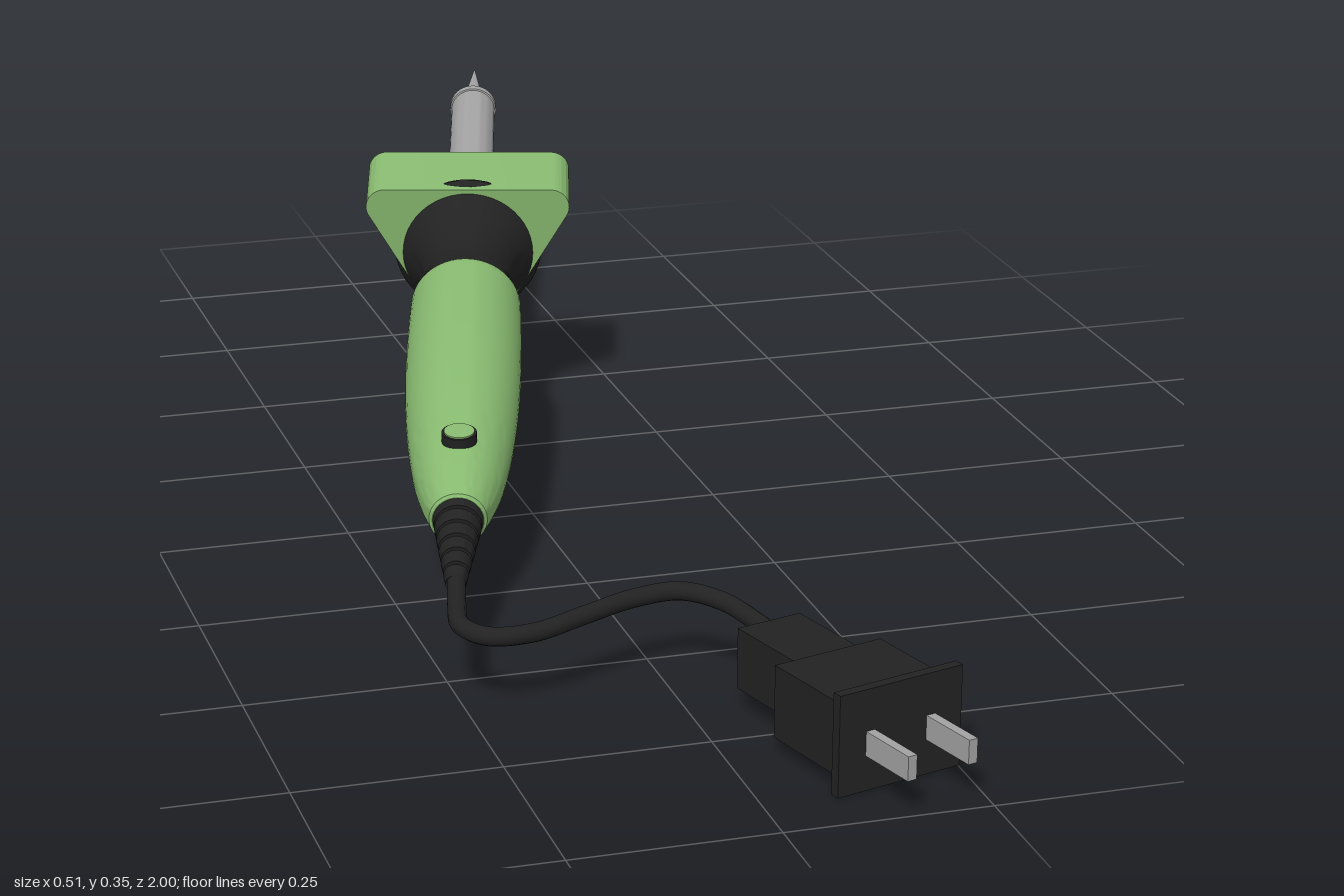
import * as THREE from 'three';
import { toCreasedNormals } from 'three/addons/utils/BufferGeometryUtils.js';

const mat = (name, color) => {
  const m = new THREE.MeshStandardMaterial({ color });
  m.name = name;
  return m;
};

export function createModel() {
  const green = mat('green plastic', 0x88ba70);
  const black = mat('black rubber', 0x222222);
  const steel = mat('steel', 0xa2a2a2);

  const add = (parent, name, geometry, material, x = 0, y = 0, z = 0) => {
    const mesh = new THREE.Mesh(geometry, material);
    mesh.name = name;
    mesh.position.set(x, y, z);
    parent.add(mesh);
    return mesh;
  };
  // Turned part along +z from [radius, distance] pairs
  const turned = (pairs, segments = 48) => {
    const pts = pairs.map(([r, s]) => new THREE.Vector2(r, s));
    return toCreasedNormals(new THREE.LatheGeometry(pts, segments).rotateX(Math.PI / 2), 0.5);
  };
  const smooth = (pairs, n) => new THREE.SplineCurve(pairs.map(([r, s]) => new THREE.Vector2(r, s)))
    .getPoints(n).map((p) => [p.x, p.y]);

  const model = new THREE.Group();
  model.name = 'solderingIron';

  // Iron: local +z runs from the cable end to the tip
  const iron = new THREE.Group();
  iron.name = 'iron';
  iron.position.set(-0.225, 0.11, 0.45);
  iron.lookAt(0.195, 0.325, -1);
  model.add(iron);

  // Ribbed strain relief
  const ribs = [[0, -0.012]];
  for (let i = 0; i < 6; i++) {
    const s = -0.012 + i * 0.028, r = 0.0145 + i * 0.0034;
    ribs.push([r - 0.002, s], [r + 0.001, s + 0.021], [r - 0.004, s + 0.022], [r - 0.003, s + 0.028]);
  }
  add(iron, 'strainRelief', turned(ribs, 32), black);

  // Handle
  add(iron, 'handle', turned([
    [0, 0.142], [0.032, 0.142],
    ...smooth([[0.036, 0.145], [0.048, 0.19], [0.059, 0.25], [0.069, 0.35], [0.0745, 0.46], [0.076, 0.56],
      [0.0755, 0.66], [0.074, 0.722]], 28),
    [0.07, 0.73], [0, 0.73],
  ]), green);

  // Button on top of the handle
  add(iron, 'buttonRim', new THREE.CylinderGeometry(0.022, 0.022, 0.025, 32), black, 0, 0.0545, 0.247);
  add(iron, 'buttonCap', new THREE.CylinderGeometry(0.019, 0.019, 0.004, 32), green, 0, 0.067, 0.247);

  // Flared neck, slightly proud of the collar sides
  add(iron, 'neck', turned([
    [0, 0.715],
    ...smooth([[0.074, 0.715], [0.072, 0.735], [0.063, 0.775], [0.06, 0.81], [0.066, 0.85], [0.079, 0.88],
      [0.093, 0.905], [0.102, 0.92], [0.094, 0.935]], 30),
    [0, 0.936],
  ]), black, 0, -0.004, 0);

  // Rounded triangular collar with a round recess
  const round = 0.026, reach = 2 * (0.092 - round);
  const outline = new THREE.Shape();
  for (let k = 0; k < 3; k++) {
    const a = -Math.PI / 2 + k * Math.PI * 2 / 3;
    outline.absarc(Math.cos(a) * reach, Math.sin(a) * reach, round, a - Math.PI / 3, a + Math.PI / 3, false);
  }
  outline.closePath();
  outline.holes.push(new THREE.Path().absarc(0, 0, 0.076, 0, Math.PI * 2, true));
  const collar = new THREE.ExtrudeGeometry(outline, { depth: 0.125, bevelEnabled: false, curveSegments: 24 });
  add(iron, 'collar', toCreasedNormals(collar, 0.6), green, 0, 0, 0.9);
  add(iron, 'collarFloor', new THREE.CircleGeometry(0.077, 48), green, 0, 0, 0.96);

  // Heating tube with a hollow end, and the pointed tip
  add(iron, 'heatingTube', turned([
    [0.032, 0.94], [0.032, 1.375], [0.034, 1.376], [0.034, 1.388], [0.032, 1.39],
    [0.022, 1.39], [0.022, 1.375], [0, 1.375],
  ], 40), steel);
  add(iron, 'tip', turned([[0.017, 1.37], [0.016, 1.4], [0.0005, 1.525], [0, 1.525]], 32), steel);

  // Cable
  const path = [
    [-0.226, 0.111, 0.455], [-0.24, 0.101, 0.51], [-0.248, 0.097, 0.56], [-0.225, 0.094, 0.592],
    [-0.17, 0.093, 0.594], [-0.1, 0.096, 0.567], [-0.03, 0.099, 0.54], [0.03, 0.1, 0.536],
    [0.07, 0.097, 0.572], [0.095, 0.09, 0.63], [0.105, 0.088, 0.68],
  ].map((p) => new THREE.Vector3(...p));
  add(model, 'cable', new THREE.TubeGeometry(new THREE.CatmullRomCurve3(path), 90, 0.0115, 14), black);

  // Plug: local +z points along the prongs
  const plug = new THREE.Group();
  plug.name = 'plug';
  plug.position.set(0.168, 0.0625, 0.905);
  plug.rotation.y = 0.273;
  model.add(plug);
  add(plug, 'plugFlange', new THREE.BoxGeometry(0.17, 0.125, 0.013), black);
  add(plug, 'plugBody', new THREE.BoxGeometry(0.148, 0.09, 0.132), black, 0, 0, -0.07);
  add(plug, 'plugNeck', new THREE.BoxGeometry(0.088, 0.076, 0.125), black, 0, 0.003, -0.193);
  for (const side of [-1, 1]) {
    add(plug, side < 0 ? 'rightProng' : 'leftProng', new THREE.BoxGeometry(0.012, 0.03, 0.083), steel,
      side * 0.042, -0.004, 0.0445);
  }

  return model;
}
